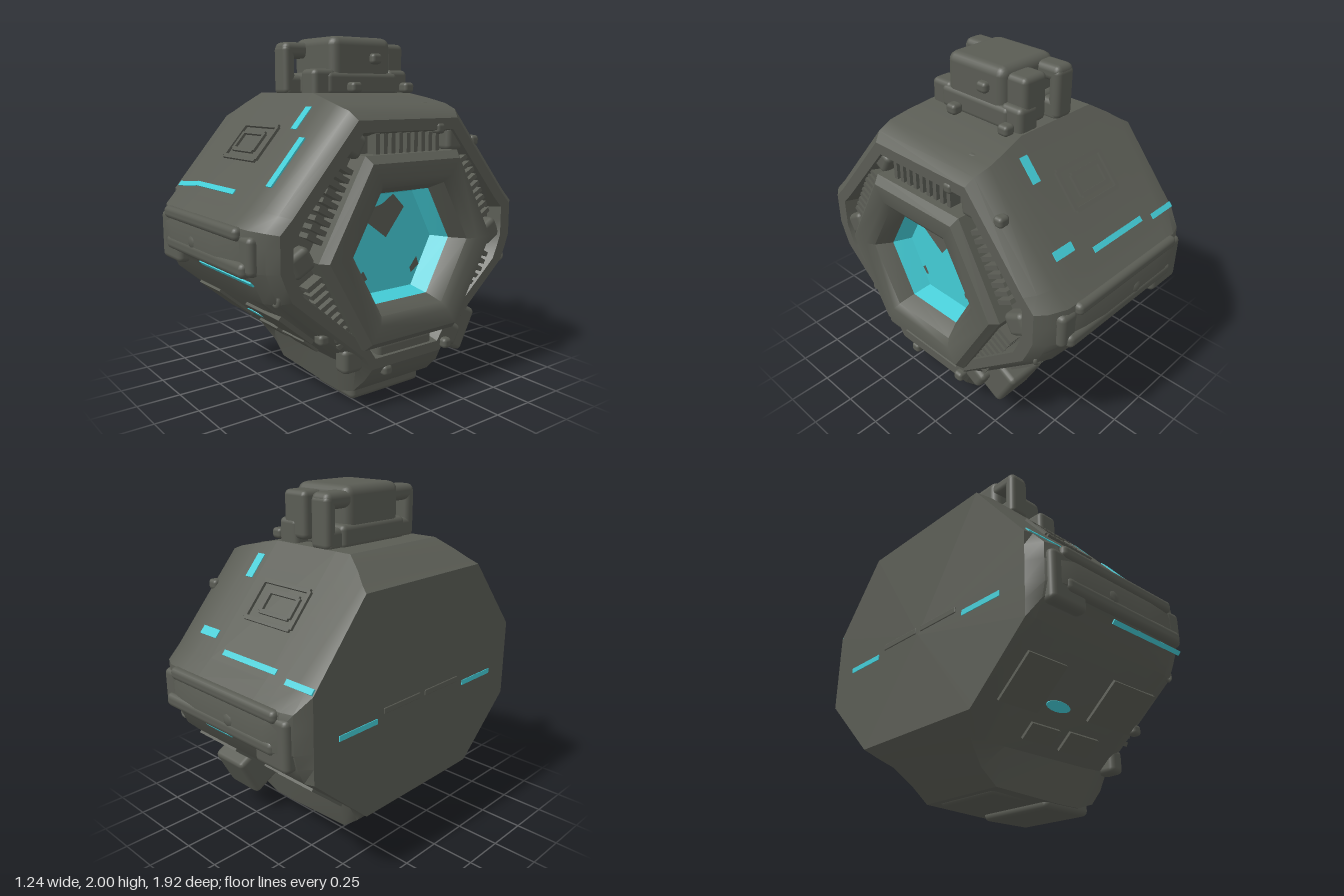
import * as THREE from 'three';
import { toCreasedNormals } from 'three/addons/utils/BufferGeometryUtils.js';
import { RoundedBoxGeometry } from 'three/addons/geometries/RoundedBoxGeometry.js';

const CY = 0.87; // height of the hexagon axis

export function createModel() {
  const model = new THREE.Group();
  const shell = new THREE.MeshStandardMaterial({ color: 0x5a5c54 });
  shell.name = 'grey shell';
  const glow = new THREE.MeshStandardMaterial({ color: 0x43ccd6 });
  glow.name = 'cyan glow';

  const add = (name, geo, mat, x = 0, y = 0, z = 0, rx = 0) => {
    const m = new THREE.Mesh(geo, mat);
    m.name = name;
    m.position.set(x, y, z);
    m.rotation.x = rx;
    model.add(m);
    return m;
  };
  const rbox = (name, w, h, d, x, y, z, rx = 0, r = 0.03) =>
    add(name, new RoundedBoxGeometry(w, h, d, 2, Math.min(r, w / 2.2, h / 2.2, d / 2.2)), shell, x, y, z, rx);

  // Skin over closed cross-sections that follow the x axis
  const loft = (sections, crease = 0.5) => {
    const pos = [];
    for (let i = 0; i < sections.length - 1; i++) {
      const a = sections[i], b = sections[i + 1], n = a.length;
      for (let j = 0; j < n; j++) {
        const k = (j + 1) % n;
        for (const p of [a[j], a[k], b[j], a[k], b[k], b[j]]) pos.push(...p);
      }
    }
    const g = new THREE.BufferGeometry();
    g.setAttribute('position', new THREE.Float32BufferAttribute(pos, 3));
    return toCreasedNormals(g, crease);
  };

  // Depth of the sloped faces at a given height
  const upperZ = (y) => 0.345 + (1.69 - y) * 0.866;
  const lowerZ = (y) => 0.34 + (y - 0.24) * 1.163;

  // Half outline of the body as [z, y], from top to bottom
  const H = [[0.345, 1.69], [0.83, 1.13], [0.92, 1.05], [0.95, 0.96], [0.95, 0.84],
    [0.88, 0.76], [0.84, 0.67], [0.34, 0.24], [0.28, 0.04]];
  const section = (x, top, bot, zMax, k = 1) => {
    const half = H.map(([z, y], i) => {
      if (i === 0) return [upperZ(top), top];
      if (i === 7 && bot > 0.22) return [lowerZ(bot + 0.02), bot + 0.02];
      if (i === 8) return [bot > 0.22 ? lowerZ(bot) : z, bot];
      return [Math.min(z, zMax), y];
    });
    const full = [...half.map(([z, y]) => [-z, y]).reverse(), ...half];
    return full.map(([z, y]) => [x, CY + (y - CY) * k, z * k]);
  };
  add('body', loft([
    section(-0.62, 1.55, 0.33, 0.82, 0),
    section(-0.62, 1.55, 0.33, 0.82),
    section(-0.57, 1.58, 0.28, 0.9),
    section(-0.5, 1.63, 0.225, 0.94),
    section(-0.4, 1.69, 0.13, 0.95),
    section(-0.3, 1.69, 0.05, 0.95),
    section(0.15, 1.69, 0.03, 0.95),
    section(0.3, 1.66, 0.03, 0.94),
    section(0.42, 1.64, 0.06, 0.93, 0.99),
    section(0.51, 1.64, 0.12, 0.91, 0.95),
    section(0.555, 1.64, 0.15, 0.91, 0.89),
    section(0.555, 1.64, 0.15, 0.91, 0.81),
    section(0.47, 1.64, 0.15, 0.91, 0.78),
    section(0.47, 1.64, 0.15, 0.91, 0.5),
    section(0.33, 1.64, 0.15, 0.91, 0.5),
    section(0.33, 1.64, 0.15, 0.91, 0),
  ]), shell);

  // Raised hexagonal ring with a sunken window on the +x side
  const hex = (x, zr, yr) => [[-1, 0], [-0.53, 1], [0.53, 1], [1, 0], [0.53, -1], [-0.53, -1]]
    .map(([z, y]) => [x, CY + y * yr, z * zr]);
  add('windowRing', loft([
    hex(0.46, 0.61, 0.51), hex(0.58, 0.61, 0.51), hex(0.62, 0.57, 0.47),
    hex(0.62, 0.46, 0.38), hex(0.59, 0.41, 0.34), hex(0.5, 0.35, 0.3),
  ], 0.7), shell);
  add('window', loft([hex(0.502, 0.358, 0.306), hex(0.39, 0.31, 0.275), hex(0.39, 0, 0)], 0.1), glow);

  // Grey patches lying on the window floor
  const patch = (pts) => {
    const c = [0.396, 0, 0];
    pts.forEach(([z, y]) => { c[1] += y / pts.length; c[2] += z / pts.length; });
    const ring = pts.map(([z, y]) => [0.396, y, z]);
    add('windowPatch', loft([ring, pts.map(() => c)]), shell);
  };
  patch([[-0.1, 1.06], [-0.02, 1.14], [0.06, 1.09], [0.19, 1.06], [0.18, 1.01], [0.03, 0.9]]);
  patch([[-0.22, 0.71], [-0.2, 0.76], [-0.15, 0.7], [-0.16, 0.67]]);
  patch([[0.16, 0.68], [0.19, 0.73], [0.21, 0.71], [0.18, 0.67]]);

  // Cooling ribs in the groove around the ring, with a clamp at each corner
  const mid = hex(0.5, 0.66, 0.56);
  mid.forEach((a, i) => {
    const b = mid[(i + 1) % 6];
    const dy = b[1] - a[1], dz = b[2] - a[2];
    const angle = Math.atan2(-dy, dz);
    for (let r = 0; r < 9 && i !== 4; r++) {
      const t = 0.2 + r * 0.075;
      add('rib', new THREE.BoxGeometry(0.08, 0.11, 0.026), shell, 0.5, a[1] + dy * t, a[2] + dz * t, angle);
    }
    rbox('cornerClamp', 0.1, 0.14, 0.13, 0.49, CY + (a[1] - CY) * 1.02, a[2] * 1.02, angle);
  });
  rbox('lowerClamp', 0.1, 0.12, 0.4, 0.49, 0.3, 0);

  // Top handle
  rbox('handleBlock', 0.4, 0.33, 0.42, -0.05, 1.835, 0, 0, 0.05);
  rbox('handleBase', 0.42, 0.13, 0.5, -0.05, 1.74, 0);
  rbox('handleBridge', 0.13, 0.09, 0.7, -0.18, 1.93, 0, 0, 0.035);
  for (const s of [-1, 1]) {
    rbox('handlePost', 0.13, 0.28, 0.075, -0.18, 1.82, s * 0.315);
    rbox('handleFoot', 0.14, 0.16, 0.15, 0.08, 1.74, s * 0.26);
    rbox('handleLink', 0.13, 0.12, 0.15, -0.18, 1.73, s * 0.27);
  }
  rbox('rearLatch', 0.17, 0.26, 0.14, 0.03, 1.84, -0.26);
  for (const [x, y, z] of [[0.15, 1.88, -0.08], [0.2, 1.72, 0.1], [0.2, 1.72, -0.28]])
    rbox('handleBolt', 0.07, 0.06, 0.07, x, y, z, 0, 0.02);

  // Parts on the sloped faces, s = 1 front, -1 back
  const upper = (s, name, mat, x, y, w, h, d = 0.009) =>
    add(name, new THREE.BoxGeometry(w, h, d), mat, x, y, s * upperZ(y), s * -0.713);
  const lower = (s, name, mat, x, y, w, h, d) =>
    add(name, new THREE.BoxGeometry(w, h, d), mat, x, y, s * lowerZ(y), s * 0.861);
  for (const s of [1, -1]) {
    // stepped access panel
    for (const [cx, cy, w, h] of [[-0.11, 1.42, 0.35, 0.17], [-0.13, 1.42, 0.22, 0.09]]) {
      for (const e of [-1, 1]) {
        upper(s, 'panelEdge', shell, cx, cy + e * h / 2, w, 0.025, 0.03);
        upper(s, 'panelEdge', shell, cx + e * w / 2, cy, 0.025, h * 1.3, 0.03);
      }
    }
    upper(s, 'upperMark', glow, 0.21, 1.56, 0.055, 0.15);
    // band fittings
    rbox('bandLip', 0.86, 0.07, 0.06, -0.06, 1.02, s * 0.925);
    rbox('bandLip', 0.9, 0.08, 0.07, -0.02, 0.85, s * 0.92);
    rbox('bandEnd', 0.12, 0.2, 0.08, 0.41, 0.92, s * 0.89);
    rbox('bandEnd', 0.24, 0.28, 0.08, -0.44, 0.88, s * 0.9);
    add('knob', new THREE.SphereGeometry(0.07, 16, 10), shell, -0.13, 0.9, s * 0.89);
    add('cableEye', new THREE.TorusGeometry(0.027, 0.012, 6, 12), shell, 0.49, 0.7, s * 0.8);
    // armour plates on the underside slopes
    for (const [x, y, w, h] of [[-0.38, 0.48, 0.26, 0.28], [0.26, 0.5, 0.34, 0.26], [0.14, 0.32, 0.22, 0.12], [-0.14, 0.32, 0.2, 0.1]])
      lower(s, 'undersidePlate', shell, x, y, w, h, 0.03);
    // glowing seam on the flat -x side
    add('flankStripe', new THREE.BoxGeometry(0.008, 0.03, 0.28), glow, -0.62, 0.86, s * 0.51);
    rbox('flankRail', 0.015, 0.035, 0.3, -0.617, 0.9, s * 0.17, 0, 0.005);
  }
  // Glowing seams tucked under the band
  for (const [x, w, s] of [[0.18, 0.56, 1], [0, 0.2, -1]])
    add('bandStripe', new THREE.BoxGeometry(w, 0.026, 0.009), glow, x, 0.79, s * 0.91, s * 0.72);
  const oval = add('lowerMark', new THREE.CylinderGeometry(1, 1, 0.009, 16), glow, -0.14, 0.43, lowerZ(0.43), 2.431);
  oval.scale.set(0.085, 1, 0.03);

  // Glowing stripes on the upper slopes
  upper(1, 'longStripe', glow, -0.155, 1.18, 0.45, 0.03);
  upper(1, 'cornerStripe', glow, -0.48, 1.168, 0.205, 0.032).rotation.z = 0.11;
  upper(1, 'sideMark', glow, 0.34, 1.35, 0.05, 0.31);
  upper(-1, 'longStripe', glow, -0.13, 1.17, 0.42, 0.032);
  upper(-1, 'cornerStripe', glow, -0.52, 1.15, 0.19, 0.032);
  upper(-1, 'sideMark', glow, 0.265, 1.23, 0.14, 0.05);

  // Base foot, rear guard and bolts on the window side
  rbox('foot', 0.34, 0.12, 0.5, 0.23, 0.06, 0.02);
  rbox('basePad', 0.3, 0.1, 0.44, -0.12, 0.085, 0);
  rbox('cornerGuard', 0.26, 0.27, 0.2, 0.35, 0.302, -0.476, -0.485);
  for (const [x, y, z] of [[0.56, 0.27, -0.28], [0.53, 0.2, 0.14], [0.53, 1.5, -0.22],
    [0.38, 1.61, -0.24], [0.49, 1.42, -0.53], [0.5, 0.45, 0.54]])
    rbox('bolt', 0.07, 0.06, 0.06, x, y, z, 0, 0.02);

  return model;
}
